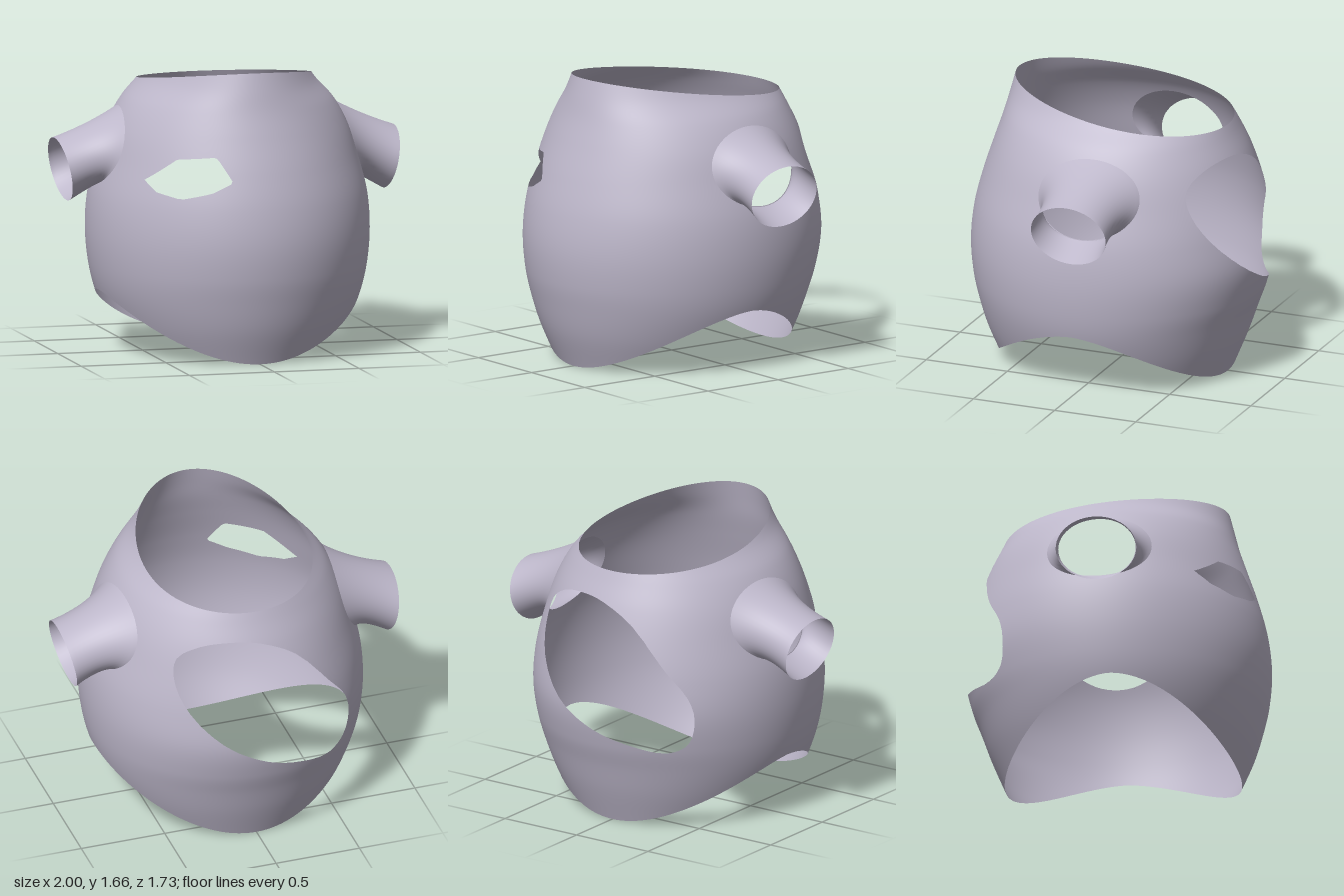
import * as THREE from 'three';
import { mergeVertices } from 'three/addons/utils/BufferGeometryUtils.js';

// Rows of the body: height -> half width, front depth, back depth
const heights = [0, 0.2, 0.36, 0.5, 0.7, 0.9, 1.1, 1.3, 1.44, 1.56, 1.7];
const sizes = [
  0.6, 0.70, 0.65, 0.70, 0.78, 0.73, 0.76, 0.825, 0.785, 0.79, 0.855, 0.835,
  0.805, 0.87, 0.875, 0.79, 0.85, 0.855, 0.74, 0.80, 0.81, 0.675, 0.735, 0.74,
  0.595, 0.69, 0.675, 0.485, 0.66, 0.625, 0.40, 0.625, 0.58,
];
const profile = new THREE.CubicInterpolant(heights, sizes, 3);
const sizeAt = (y) => {
  const [w, front, back] = profile.evaluate(y);
  return { w, front, back };
};

function bodyPoint(angle, y) {
  const s = sizeAt(y), c = Math.cos(angle);
  return new THREE.Vector3(s.w * Math.sin(angle), y, c * (c > 0 ? s.front : s.back));
}

function sideX(y, z) {
  const s = sizeAt(y), k = z / (z > 0 ? s.front : s.back);
  return s.w * Math.sqrt(Math.max(0, 1 - k * k));
}

// Signed distance to a closed outline, negative inside
function outlineDistance(points, x, y) {
  let best = Infinity, inside = false;
  points.forEach((a, i) => {
    const b = points[(i + 1) % points.length];
    const ex = b.x - a.x, ey = b.y - a.y;
    const t = THREE.MathUtils.clamp(((x - a.x) * ex + (y - a.y) * ey) / (ex * ex + ey * ey || 1), 0, 1);
    best = Math.min(best, Math.hypot(x - a.x - t * ex, y - a.y - t * ey));
    if ((a.y > y) !== (b.y > y) && x < a.x + ((y - a.y) / ey) * ex) inside = !inside;
  });
  return inside ? -best : best;
}

const eyeOutline = [
  [-0.62, 1.05], [-0.46, 1.18], [-0.26, 1.2], [-0.18, 1.06], [-0.3, 1.0], [-0.46, 0.96], [-0.57, 0.99],
].map(([x, y]) => new THREE.Vector2(x, y));

const backOutline = new THREE.CatmullRomCurve3([
  [0, 0.6], [0.25, 0.74], [0.42, 0.92], [0.48, 1.08], [0.46, 1.22], [0.33, 1.31], [0.15, 1.34], [0, 1.32],
  [-0.2, 1.22], [-0.42, 0.97], [-0.53, 0.82], [-0.56, 0.69], [-0.52, 0.54], [-0.42, 0.49], [-0.22, 0.53],
].map(([x, y]) => new THREE.Vector3(x, y, 0)), true).getPoints(45).slice(0, -1);

const arm = { y: 1.18, z: -0.07, ry: 0.22, rz: 0.3 };

// Positive where cloth remains, negative in every opening
function cloth({ x, y, z }) {
  const hem = 0.36 * (1 - Math.pow(Math.abs(z) / (z > 0 ? 0.7 : 0.65), 1.75));
  const neck = 1.565 + 0.135 * z + 0.03 * z * z;
  const armhole = (Math.hypot((y - arm.y) / arm.ry, (z - arm.z) / arm.rz) - 0.98) * arm.ry;
  const hole = outlineDistance(z > 0 ? eyeOutline : backOutline, x, y);
  return Math.min(y - hem, neck - y, armhole, hole);
}

// Body grid, each triangle trimmed at the openings
function bodyGeometry(cols = 144, rows = 90) {
  const grid = [];
  for (let j = 0; j <= rows; j++) {
    for (let i = 0; i <= cols; i++) {
      const p = bodyPoint((i % cols) / cols * Math.PI * 2, (j / rows) * 1.69);
      grid.push({ p, f: cloth(p) });
    }
  }
  const out = [];
  const trim = (tri) => {
    const poly = [];
    tri.forEach((a, i) => {
      const b = tri[(i + 1) % 3];
      if (a.f >= 0) poly.push(a.p);
      if ((a.f >= 0) !== (b.f >= 0)) poly.push(a.p.clone().lerp(b.p, a.f / (a.f - b.f)));
    });
    for (let i = 2; i < poly.length; i++) {
      for (const p of [poly[0], poly[i - 1], poly[i]]) out.push(p.x, p.y, p.z);
    }
  };
  for (let j = 0; j < rows; j++) {
    for (let i = 0; i < cols; i++) {
      const a = grid[j * (cols + 1) + i], b = grid[j * (cols + 1) + i + 1];
      const d = grid[(j + 1) * (cols + 1) + i], c = grid[(j + 1) * (cols + 1) + i + 1];
      trim([a, b, c]);
      trim([a, c, d]);
    }
  }
  return smooth(out);
}

function smooth(positions, index) {
  let g = new THREE.BufferGeometry();
  g.setAttribute('position', new THREE.Float32BufferAttribute(positions, 3));
  if (index) g.setIndex(index);
  g = mergeVertices(g, 1e-4);
  g.computeVertexNormals();
  return g;
}

// Flared sleeve from the armhole to its open cuff
function sleeveGeometry(around = 48, along = 14) {
  const pos = [], index = [];
  for (let i = 0; i <= around; i++) {
    const a = (i % around) / around * Math.PI * 2, c = Math.cos(a), s = Math.sin(a);
    const y = arm.y + arm.ry * s, z = arm.z + arm.rz * c;
    const curve = new THREE.QuadraticBezierCurve3(
      new THREE.Vector3(sideX(y, z), y, z),
      new THREE.Vector3(0.79, 1.125 + 0.175 * s, arm.z + 0.195 * c),
      new THREE.Vector3(0.965 + 0.035 * s, 1.05 + 0.18 * s, arm.z + 0.23 * c));
    for (let j = 0; j <= along; j++) {
      const p = curve.getPoint(j / along);
      pos.push(p.x, p.y, p.z);
      if (i < around && j < along) {
        const k = i * (along + 1) + j, n = k + along + 1;
        index.push(k, n + 1, n, k, k + 1, n + 1);
      }
    }
  }
  return smooth(pos, index);
}

export function createModel() {
  const group = new THREE.Group();
  const fabric = new THREE.MeshStandardMaterial({ color: 0xbdb7ca, side: THREE.DoubleSide });
  fabric.name = 'mauve grey fabric';

  const body = new THREE.Mesh(bodyGeometry(), fabric);
  body.name = 'body';
  group.add(body);

  const sleeve = sleeveGeometry();
  for (const side of [1, -1]) {
    const mesh = new THREE.Mesh(sleeve, fabric);
    mesh.name = side > 0 ? 'leftSleeve' : 'rightSleeve';
    mesh.scale.x = side;
    group.add(mesh);
  }
  return group;
}
